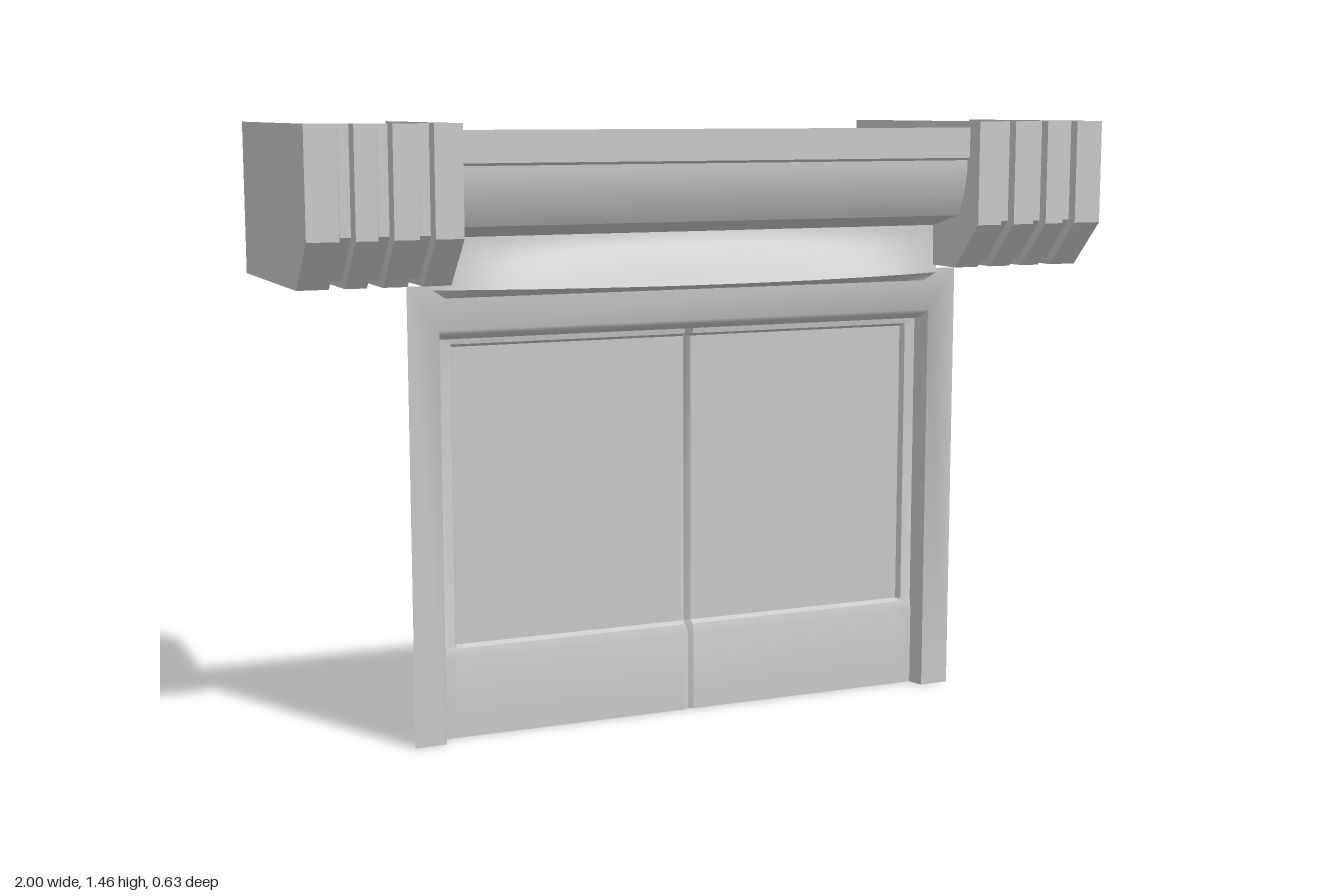
import * as THREE from 'three';
import { toCreasedNormals } from 'three/addons/utils/BufferGeometryUtils.js';

const material = new THREE.MeshStandardMaterial({ color: 0xcccccc, side: THREE.DoubleSide });

// Thin surface through rows of [x, y, z] points, all rows the same length.
function sheet(name, rows, crease = 0.5) {
  const n = rows[0].length;
  const index = [];
  for (let r = 0; r < rows.length - 1; r++) {
    for (let c = 0; c < n - 1; c++) {
      const a = r * n + c, b = a + 1, d = a + n, e = d + 1;
      index.push(a, d, b, b, d, e);
    }
  }
  const geometry = new THREE.BufferGeometry();
  geometry.setAttribute('position', new THREE.Float32BufferAttribute(rows.flat(2), 3));
  geometry.setIndex(index);
  const mesh = new THREE.Mesh(toCreasedNormals(geometry, crease), material);
  mesh.name = name;
  return mesh;
}

// Straight moulding: a [z, y] profile swept across x.
function moulding(name, half, profile) {
  return sheet(name, [-half, half].map((x) => profile.map(([z, y]) => [x, y, z])));
}

// Open-backed bracket with three grooves running down the front and under it.
function bracket(side) {
  const group = new THREE.Group();
  group.name = side > 0 ? 'leftBracket' : 'rightBracket';

  const path = (d) => [
    [0.315 - d, 1.46], [0.315 - d, 1.21 + 0.41 * d],
    [0.21 - 0.41 * d, 1.1 + d], [-0.315, 1.1 + d],
  ];
  const stations = [[0.65, 0]];
  for (const x of [0.733, 0.825, 0.91]) {
    stations.push([x - 0.018, 0], [x - 0.012, 0.018], [x + 0.012, 0.018], [x + 0.018, 0]);
  }
  stations.push([1, 0]);
  group.add(sheet('groovedFace', stations.map(([x, d]) => path(d).map(([z, y]) => [side * x, y, z]))));

  // Flat cheek plates
  const outline = [...path(0), [-0.315, 1.46]].map(([z, y]) => new THREE.Vector2(-z, y));
  for (const x of [0.65, 1]) {
    const cheek = new THREE.Mesh(new THREE.ShapeGeometry(new THREE.Shape(outline)), material);
    cheek.rotation.y = Math.PI / 2;
    cheek.position.x = side * x;
    cheek.name = 'cheekPlate';
    group.add(cheek);
  }
  return group;
}

// Door leaf: plain kick panel below, recessed window above, groove at the middle.
function doorLeaf(side) {
  const xs = [0.632, 0.605, 0.597, 0.012, 0];
  const rows = [
    [0, [0.05, 0.05, 0.05, 0.05, 0.043]],
    [0.195, [0.05, 0.05, 0.05, 0.05, 0.043]],
    [0.218, [0.047, 0.045, 0.045, 0.045, 0.02]],
    [0.225, [0.045, 0.043, 0.03, 0.03, 0.015]],
    [0.94, [0.045, 0.043, 0.03, 0.03, 0.015]],
    [0.947, [0.045, 0.043, 0.043, 0.043, 0.022]],
    [0.96, [0.045, 0.045, 0.045, 0.045, 0.03]],
  ];
  return sheet(side > 0 ? 'leftDoorLeaf' : 'rightDoorLeaf',
    rows.map(([y, zs]) => zs.map((z, i) => [side * xs[i], y, z])));
}

export function createModel() {
  const model = new THREE.Group();
  model.name = 'shopEntrance';

  // Wall surround with a rounded reveal
  const rings = [
    [0.72, 1.09, 0.09], [0.645, 0.985, 0.09], [0.641, 0.975, 0.08],
    [0.636, 0.966, 0.065], [0.632, 0.96, 0.045],
  ];
  model.add(sheet('doorSurround', rings.map(([x, y, z]) =>
    [[-x, 0, z], [-x, y, z], [x, y, z], [x, 0, z]]), 0.9));

  for (const side of [1, -1]) model.add(doorLeaf(side), bracket(side));

  // Fascia: flat top strip, hollow band and sloping soffit
  model.add(moulding('topStrip', 0.683, [[0.27, 1.445], [0.27, 1.372], [0.26, 1.366]]));
  const band = [];
  for (let i = 0; i <= 10; i++) {
    const t = i / 10;
    band.push([0.26 - 0.04 * t * t, 1.366 - 0.136 * t]);
  }
  model.add(moulding('fasciaBand', 0.65, band));
  model.add(moulding('fasciaSoffit', 0.65, [[0.22, 1.23], [0.1, 1.2]]));

  // Hood over the doors, bowed forward at the middle
  const hood = [], underside = [];
  for (let i = 0; i <= 20; i++) {
    const u = i / 10 - 1;
    const front = 0.1 + 0.11 * (1 - u * u);
    const row = [];
    for (let j = 0; j <= 8; j++) {
      const t = j / 8;
      row.push([0.66 * u, 1.2 - 0.12 * t, 0.1 + (front - 0.1) * Math.pow(t, 1.6)]);
    }
    hood.push(row);
    underside.push([[0.66 * u, 1.08, front], [0.63 * u, 1.06, 0.092]]);
  }
  model.add(sheet('bowedHood', hood, 0.8), sheet('hoodUnderside', underside, 0.8));
  return model;
}
